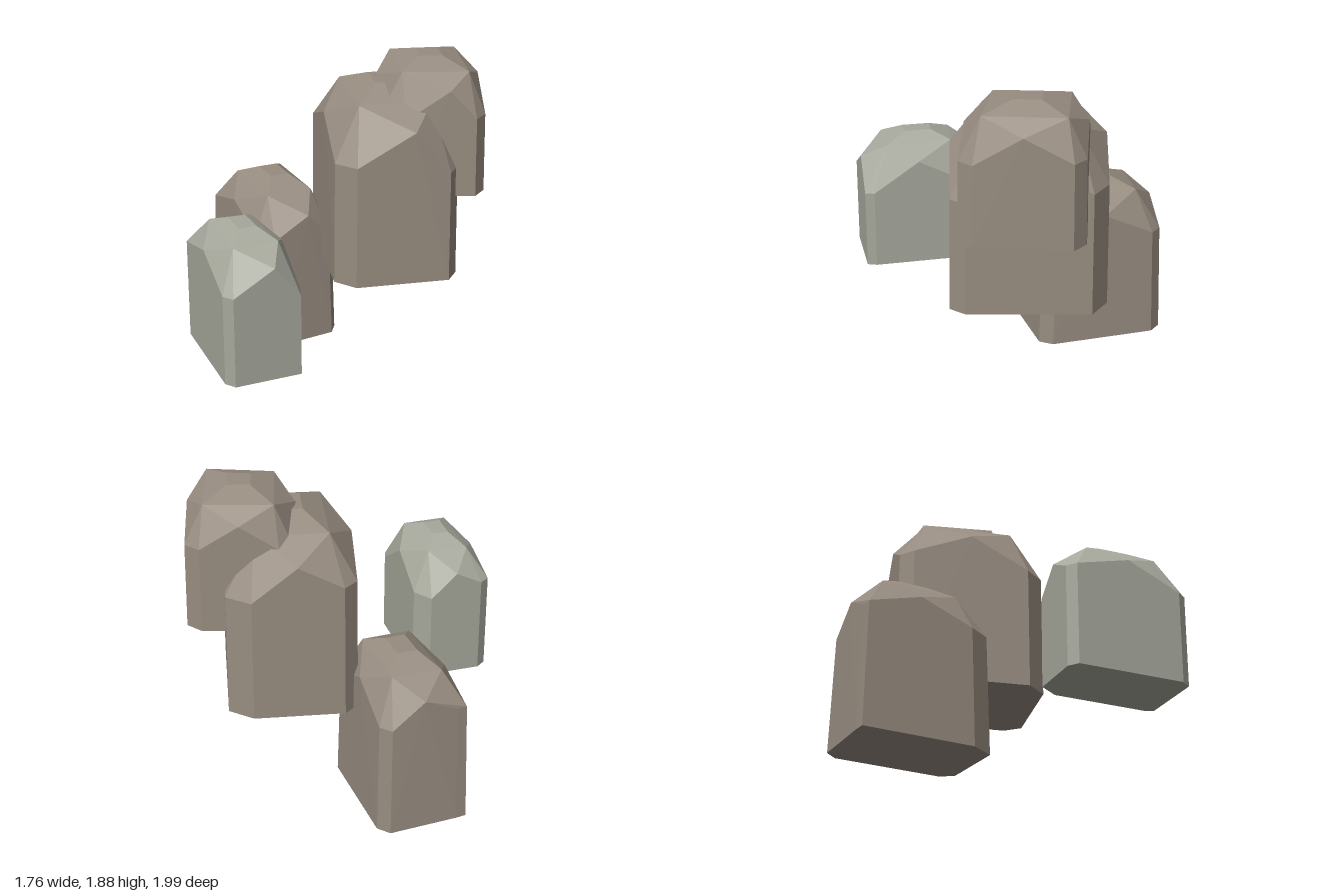
import * as THREE from 'three';
import { ConvexGeometry } from 'three/addons/geometries/ConvexGeometry.js';

const BROWN = 0x978c80;
const GREY_GREEN = 0xa6a89c;

// A chipped boulder with a flat bottom. Each of its four bevelled corners is
// [x1, z1, x2, z2, shoulder], the shoulder being a fraction of the height.
// Order: front right, front left, back left, back right.
function rock(name, color, bottom, top, taper, inset, corners) {
  const at = (f) => bottom + (top - bottom) * f;
  const ends = corners.map(([x1, z1, x2, z2]) => [new THREE.Vector3(x1, 0, z1), new THREE.Vector3(x2, 0, z2)]);
  const centre = new THREE.Vector3();
  ends.flat().forEach((p) => centre.addScaledVector(p, 1 / 8));

  const points = [];
  // adds p moved toward the centre by a scale, at a fraction of the height
  const add = (p, scale, f) => points.push(centre.clone().lerp(p, scale).setY(at(f)));

  ends.forEach(([a, b], i) => {
    const next = ends[(i + 1) % 4][0];
    const middle = a.clone().lerp(b, 0.5);
    // corner bevel from the ground to its shoulder
    for (const p of [a, b]) {
      add(p, 1, 0);
      add(p, 1 - taper, corners[i][4]);
    }
    // each side rises to a point between two corners
    add(b.clone().lerp(next, i === 0 ? 0.38 : 0.5), 1 - taper, 0.83);
    // crown and flat peak
    add(middle, inset, 0.935);
    add(middle, 0.25, 1);
  });

  const material = new THREE.MeshStandardMaterial({ color, flatShading: true });
  const mesh = new THREE.Mesh(new ConvexGeometry(points), material);
  mesh.name = name;
  return mesh;
}

export function createModel() {
  const group = new THREE.Group();
  group.name = 'rocks';
  group.add(
    // separate pale rock at the front
    rock('frontRock', GREY_GREEN, 0.345, 1.175, 0, 0.62, [
      [-0.23, 0.79, -0.23, 0.85, 0.6],
      [-0.6, 0.99, -0.66, 0.95, 0.66],
      [-0.88, 0.35, -0.84, 0.29, 0.73],
      [-0.54, 0.18, -0.43, 0.26, 0.65],
    ]),
    // low rock at the back, standing on the ground
    rock('lowRock', BROWN, 0, 1.01, 0.05, 0.62, [
      [0, -0.37, -0.02, -0.28, 0.69],
      [-0.37, -0.1, -0.5, -0.19, 0.71],
      [-0.775, -0.8, -0.72, -0.83, 0.74],
      [-0.345, -1, -0.265, -0.96, 0.68],
    ]),
    // big rock in the middle
    rock('middleRock', BROWN, 0.575, 1.73, 0.015, 0.66, [
      [0.72, 0.05, 0.67, 0.155, 0.6],
      [0.11, 0.245, -0.02, 0.155, 0.66],
      [-0.13, -0.55, -0.065, -0.64, 0.71],
      [0.455, -0.73, 0.61, -0.66, 0.65],
    ]),
    // upper rock, fused into the side of the middle one
    rock('upperRock', BROWN, 1.09, 1.875, 0.02, 0.74, [
      [0.88, -0.01, 0.82, 0.08, 0.615],
      [0.4, 0.06, 0.245, -0.01, 0.6],
      [0.23, -0.53, 0.3, -0.6, 0.65],
      [0.75, -0.63, 0.84, -0.57, 0.65],
    ]),
  );
  return group;
}
